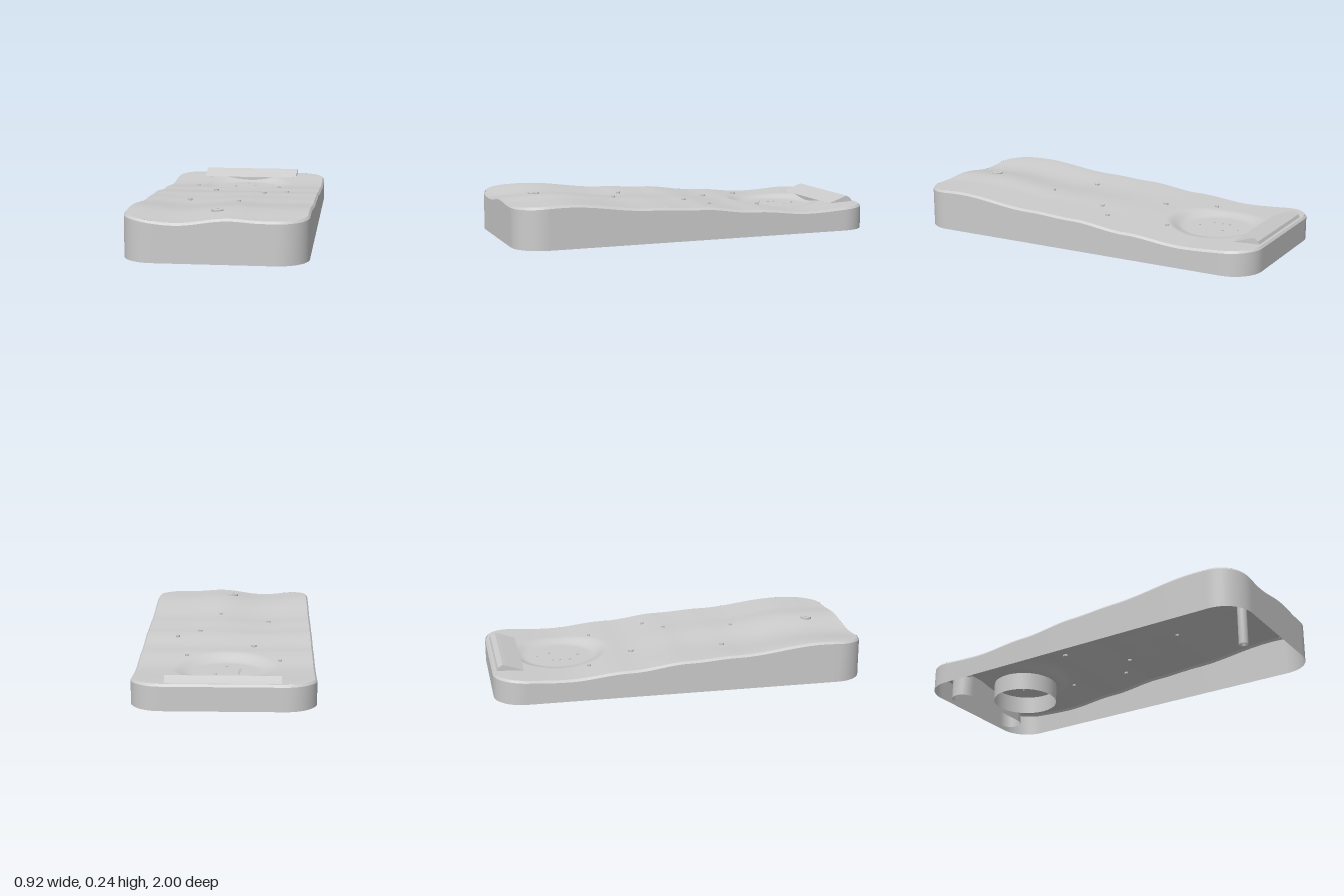
import * as THREE from 'three';

const W = 0.46, L = 1, R = 0.16;            // half width, half length, corner radius
const PIT = { x: 0, z: -0.62, floor: 0.1, inner: 0.18, outer: 0.27 };

const smooth = THREE.MathUtils.smoothstep;

// Eased interpolation through [position, height] pairs
function profile(points, t) {
  if (t <= points[0][0]) return points[0][1];
  for (let i = 1; i < points.length; i++) {
    const [a, ya] = points[i - 1], [b, yb] = points[i];
    if (t <= b) return ya + (yb - ya) * 0.5 * (1 - Math.cos(Math.PI * (t - a) / (b - a)));
  }
  return points[points.length - 1][1];
}

const LENGTHWISE = [[-1, 0.134], [-0.62, 0.118], [-0.3, 0.143], [0.02, 0.173], [0.28, 0.185], [0.75, 0.225], [1, 0.217]];
const CROSSWISE = [[-0.46, 0.004], [-0.19, -0.018], [0.08, 0.009], [0.24, 0], [0.46, 0]];

// Height of the rolling deck, with the round dish pressed into it
function height(x, z) {
  const y = profile(LENGTHWISE, z) + profile(CROSSWISE, x) * smooth(z, -0.5, 0.9);
  const d = Math.hypot(x - PIT.x, z - PIT.z);
  return THREE.MathUtils.lerp(PIT.floor, y, smooth(d, PIT.inner, PIT.outer));
}

// Sheet of quads from a function of u, v in 0..1
function sheet(nu, nv, fn) {
  const pos = [], idx = [];
  for (let j = 0; j <= nv; j++)
    for (let i = 0; i <= nu; i++) pos.push(...fn(i / nu, j / nv));
  for (let j = 0; j < nv; j++)
    for (let i = 0; i < nu; i++) {
      const a = j * (nu + 1) + i, b = a + 1, c = a + nu + 1, d = c + 1;
      idx.push(a, c, b, b, c, d);
    }
  const g = new THREE.BufferGeometry();
  g.setAttribute('position', new THREE.Float32BufferAttribute(pos, 3));
  g.setIndex(idx);
  g.computeVertexNormals();
  return g;
}

// Rounded rectangle outline, points as (x, z)
function outline(w, l, r, n) {
  const s = new THREE.Shape();
  s.absarc(w - r, l - r, r, 0, Math.PI / 2);
  s.absarc(r - w, l - r, r, Math.PI / 2, Math.PI);
  s.absarc(r - w, r - l, r, Math.PI, Math.PI * 1.5);
  s.absarc(w - r, r - l, r, Math.PI * 1.5, Math.PI * 2);
  s.closePath();
  return s.getSpacedPoints(n);
}

export function createModel() {
  const group = new THREE.Group();
  const grey = new THREE.MeshStandardMaterial({ color: 0xcccccc, side: THREE.DoubleSide });
  grey.name = 'light grey';
  const add = (name, geometry, x = 0, y = 0, z = 0) => {
    const m = new THREE.Mesh(geometry, grey);
    m.name = name;
    m.position.set(x, y, z);
    group.add(m);
    return m;
  };

  // Deck: rows follow the rounded outline, packed closer near the ends
  const inset = 0.01, w = W - inset, l = L - inset, r = R - inset;
  add('deck', sheet(72, 150, (u, v) => {
    const t = 2 * v - 1;
    const z = l * (0.6 * t + 0.4 * Math.sin(t * Math.PI / 2));
    const k = Math.max(0, Math.abs(z) - (l - r));
    const x = (2 * u - 1) * (w - r + Math.sqrt(Math.max(0, r * r - k * k)));
    return [x, height(x, z), z];
  }));

  // Skirt wall and the small bevel joining it to the deck
  const N = 260;
  const rim = outline(W, L, R, N), inner = outline(w, l, r, N);
  add('skirt', sheet(N, 1, (u, v) => {
    const p = rim[Math.round(u * N)];
    return [p.x, v * (height(p.x, p.y) - 0.012), p.y];
  }));
  add('rimBevel', sheet(N, 1, (u, v) => {
    const p = rim[Math.round(u * N)], q = inner[Math.round(u * N)];
    return v < 0.5 ? [p.x, height(p.x, p.y) - 0.012, p.y] : [q.x, height(q.x, q.y), q.y];
  }));

  // Wedge-shaped bar across the back
  const wedge = new THREE.Shape([
    [0.985, 0.115], [0.97, 0.15], [0.945, 0.166], [0.925, 0.16], [0.835, 0.128], [0.835, 0.115],
  ].map(([x, y]) => new THREE.Vector2(x, y)));
  const bar = new THREE.ExtrudeGeometry(wedge, { depth: 0.57, bevelEnabled: false });
  bar.rotateY(Math.PI / 2).translate(-0.285, 0, 0);
  add('backBar', bar);

  // Open sleeves hanging under the dish and the bar
  add('dishSleeve', new THREE.CylinderGeometry(0.18, 0.18, PIT.floor, 48, 1, true), PIT.x, PIT.floor / 2, PIT.z);
  const slot = outline(0.285, 0.065, 0.064, 80);
  add('barSleeve', sheet(80, 1, (u, v) => {
    const p = slot[Math.round(u * 80)];
    return [p.x, v * 0.125, p.y - 0.9];
  }));

  // Post through the front of the deck, with a bored lower end and a flat cap
  const postTop = height(0, 0.8);
  const post = [[0.012, 0.05], [0.012, 0], [0.026, 0], [0.026, postTop]];
  add('post', new THREE.LatheGeometry(post.map(p => new THREE.Vector2(...p)), 24), 0, 0, 0.8);
  add('postCap', new THREE.CylinderGeometry(0.03, 0.03, 0.012, 24), 0, postTop + 0.002, 0.8);
  add('postCapPip', new THREE.CylinderGeometry(0.007, 0.007, 0.004, 12), 0, postTop + 0.009, 0.8);

  // Small studs scattered over the deck: x, z, radius
  [
    [-0.28, -0.49, 0.011], [-0.14, -0.24, 0.014], [0.16, 0, 0.011], [-0.22, 0.25, 0.012],
    [0.28, -0.1, 0.01], [0.06, 0.37, 0.009], [0.21, -0.42, 0.009],
  ].forEach(([x, z, rad]) =>
    add('stud', new THREE.CylinderGeometry(rad, rad, 0.018, 12), x, height(x, z), z));

  // Tiny pips on the dish floor
  [[-0.07, 0], [-0.07, -0.04], [0, 0.105], [0, -0.118], [0.047, -0.048], [-0.075, 0.053]].forEach(([x, z]) =>
    add('dishPip', new THREE.CylinderGeometry(0.006, 0.006, 0.008, 8), x, PIT.floor, PIT.z + z));

  return group;
}
